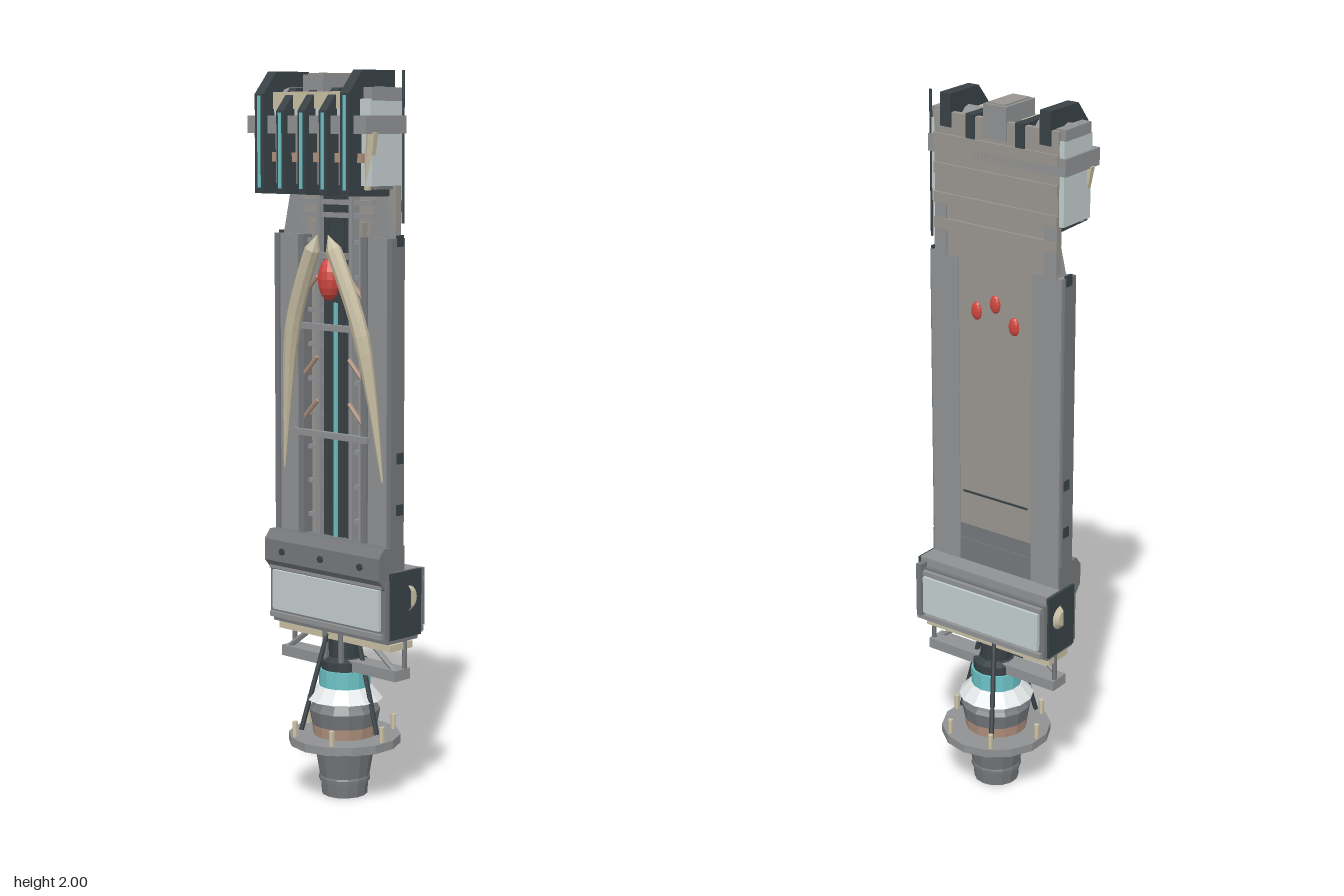
import * as THREE from 'three';

const palette = {
  grey: 0x8f9193, dark: 0x394246, teal: 0x6cc2c6, beige: 0xc9c0a4, taupe: 0x9a958f,
  red: 0xd0483f, light: 0xc3cdce, white: 0xe2e6e6, copper: 0xb0917f, mid: 0x75787b,
};
const mats = {};
for (const k in palette) {
  mats[k] = new THREE.MeshStandardMaterial({ color: palette[k], flatShading: true, side: THREE.DoubleSide });
}

export function createModel() {
  const root = new THREE.Group();
  const add = (name, geo, color, x = 0, y = 0, z = 0) => {
    const m = new THREE.Mesh(geo, mats[color]);
    m.name = name;
    m.position.set(x, y, z);
    root.add(m);
    return m;
  };
  // box given by its extents
  const box = (name, color, x0, x1, y0, y1, z0, z1) =>
    add(name, new THREE.BoxGeometry(x1 - x0, y1 - y0, z1 - z0), color, (x0 + x1) / 2, (y0 + y1) / 2, (z0 + z1) / 2);
  // mirrored pair of boxes
  const pair = (name, color, x0, x1, ...r) => {
    box(name + 'Left', color, x0, x1, ...r);
    box(name + 'Right', color, -x1, -x0, ...r);
  };
  // tapered rod between two points
  const rod = (name, color, a, b, r0, r1 = r0, sides = 6) => {
    const A = new THREE.Vector3(...a), B = new THREE.Vector3(...b), d = B.clone().sub(A);
    const m = add(name, new THREE.CylinderGeometry(r1, r0, d.length(), sides), color);
    m.position.copy(A).add(B).multiplyScalar(0.5);
    m.quaternion.setFromUnitVectors(new THREE.Vector3(0, 1, 0), d.normalize());
    return m;
  };
  // [z, y] side profile extruded across x
  const profile = (name, color, pts, width, x = 0) => {
    const g = new THREE.ExtrudeGeometry(new THREE.Shape(pts.map(p => new THREE.Vector2(...p))), { depth: width, bevelEnabled: false });
    return add(name, g.translate(0, 0, -width / 2).rotateY(-Math.PI / 2), color, x);
  };
  const lathe = (name, color, pts, sides = 14) =>
    add(name, new THREE.LatheGeometry(pts.map(p => new THREE.Vector2(...p)), sides), color);

  // Nozzle stack, bottom to top
  lathe('nozzleTip', 'mid', [[0, 0], [0.064, 0], [0.067, 0.04], [0.072, 0.04], [0.072, 0.05], [0.07, 0.055], [0.082, 0.125], [0.088, 0.13], [0.088, 0.15]]);
  lathe('flange', 'grey', [[0, 0.148], [0.157, 0.148], [0.157, 0.172], [0, 0.172]]);
  lathe('copperBand', 'copper', [[0.088, 0.17], [0.092, 0.205], [0, 0.205]]);
  lathe('nozzleCollar', 'mid', [[0.092, 0.203], [0.1, 0.245], [0.092, 0.255], [0.08, 0.275]]);
  lathe('skirt', 'white', [[0.085, 0.268], [0.107, 0.275], [0.075, 0.312], [0, 0.312]]);
  lathe('tealBand', 'teal', [[0.072, 0.308], [0.072, 0.36], [0, 0.36]]);
  lathe('upperCollar', 'dark', [[0.066, 0.358], [0.066, 0.385], [0.045, 0.395], [0.045, 0.48]]);
  for (let i = 0; i < 6; i++) {
    const a = i * Math.PI / 3, c = Math.cos(a), s = Math.sin(a);
    rod('flangeBolt', 'beige', [0.143 * c, 0.165, 0.143 * s], [0.143 * c, 0.215, 0.143 * s], 0.008);
    if (i % 2 === 0) rod('flangeStrut', 'dark', [0.125 * c, 0.19, 0.125 * s], [0.05 * c, 0.46, 0.05 * s], 0.007);
  }
  for (const x of [-0.03, 0.03]) rod('feedPipe', 'mid', [x, 0.37, 0.045], [x, 0.48, 0.045], 0.009);

  // Lower cross frame
  box('lowerCrossbar', 'grey', -0.22, 0.22, 0.362, 0.392, -0.03, 0.03);
  box('beigeCrossbar', 'beige', -0.215, 0.215, 0.446, 0.465, -0.045, 0.045);
  box('baseUnderside', 'mid', -0.22, 0.22, 0.47, 0.488, -0.06, 0.06);
  for (const s of [-1, 1]) {
    rod('frameBrace', 'grey', [s * 0.21, 0.385, 0.015], [s * 0.12, 0.45, 0.015], 0.008);
    rod('frameLink', 'mid', [s * 0.213, 0.385, -0.015], [s * 0.213, 0.48, -0.015], 0.007);
  }

  // Base housing with light panels on both faces
  box('baseHousing', 'mid', -0.222, 0.222, 0.486, 0.645, -0.078, 0.07);
  box('baseFrontPanel', 'light', -0.205, 0.205, 0.508, 0.62, 0.06, 0.08);
  box('baseBackPanel', 'light', -0.205, 0.205, 0.508, 0.62, -0.09, -0.07);
  for (const y of [0.486, 0.625]) {
    box('baseFrontTrim', 'grey', -0.215, 0.215, y, y + 0.014, 0.06, 0.082);
    box('baseBackTrim', 'grey', -0.215, 0.215, y, y + 0.014, -0.09, -0.07);
  }
  box('baseTop', 'grey', -0.22, 0.22, 0.64, 0.668, -0.065, 0.03);
  pair('baseEndPlate', 'dark', 0.218, 0.228, 0.482, 0.665, -0.065, 0.055);
  for (const s of [-1, 1]) {
    const geo = new THREE.CylinderGeometry(0.022, 0.037, 0.013, 10, 1, false, Math.PI / 2, Math.PI);
    const d = add('endLamp', geo, 'beige', s * 0.233, 0.59, -0.012);
    d.rotation.z = -s * Math.PI / 2;
    if (s > 0) d.rotation.x = 0;
    d.scale.x = s; // keep the half disc hanging downward on both ends
  }
  box('basePost', 'mid', 0.193, 0.21, 0.5, 0.66, -0.098, -0.07);

  // Bracket above the base
  profile('shoulderBracket', 'mid', [[-0.005, 0.62], [0.07, 0.62], [0.095, 0.65], [0.095, 0.71], [0.075, 0.735], [-0.005, 0.735]], 0.44);
  for (const x of [-0.15, 0, 0.15]) rod('bracketBolt', 'dark', [x, 0.68, 0.09], [x, 0.68, 0.1], 0.01, 0.01, 8);

  // Long body: side rails, back panel, inner channel
  pair('sideRail', 'grey', 0.122, 0.215, 0.66, 1.562, -0.006, 0.044);
  pair('railOuterEdge', 'mid', 0.205, 0.222, 0.73, 1.562, 0.0, 0.05);
  pair('railInnerEdge', 'mid', 0.108, 0.13, 0.73, 1.562, 0.0, 0.05);
  box('backPanel', 'taupe', -0.125, 0.125, 0.78, 1.6, -0.004, 0.008);
  box('backPanelFoot', 'mid', -0.125, 0.125, 0.66, 0.79, -0.002, 0.008);
  box('backSeam', 'dark', -0.11, 0.11, 0.878, 0.884, -0.006, 0);
  box('centreSpine', 'dark', -0.026, 0.026, 0.7, 1.68, 0.008, 0.032);
  box('tealLine', 'teal', -0.006, 0.006, 0.72, 1.38, 0.03, 0.038);
  pair('innerDarkStrip', 'dark', 0.032, 0.05, 0.7, 1.68, 0.008, 0.03);
  pair('innerPost', 'grey', 0.055, 0.068, 0.7, 1.68, 0.008, 0.042);
  pair('innerPipe', 'taupe', 0.082, 0.096, 0.72, 1.6, 0.008, 0.03);
  for (let i = 0; i < 9; i++) {
    const y = 0.78 + i * 0.095;
    pair('channelRung', 'grey', 0.05, 0.11, y, y + 0.012, 0.01, 0.034);
  }
  for (const [y, w] of [[1.01, 0.14], [1.305, 0.11], [1.5, 0.06]]) box('tuskCrossbar', 'grey', -w, w, y, y + 0.017, 0.045, 0.062);
  for (const s of [-1, 1]) for (const y of [1.08, 1.2, 1.42]) {
    rod('channelBrace', 'copper', [s * 0.06, y + 0.03, 0.045], [s * 0.11, y - 0.02, 0.045], 0.006);
  }
  for (const y of [0.82, 0.96, 1.54]) pair('railClip', 'dark', 0.217, 0.224, y, y + 0.03, 0.005, 0.03);

  // Tapered tusks meeting at the top
  const tusk = s => {
    const path = new THREE.CatmullRomCurve3([[0.018, 1.57, 0.085], [0.075, 1.45, 0.08], [0.128, 1.31, 0.072], [0.16, 1.13, 0.06], [0.187, 0.91, 0.048]]
      .map(([x, y, z]) => new THREE.Vector3(s * x, y, z)));
    const n = 14, sides = 8, g = new THREE.TubeGeometry(path, n, 0.022, sides);
    const p = g.attributes.position, v = new THREE.Vector3();
    for (let i = 0; i < p.count; i++) {
      const ring = Math.floor(i / (sides + 1)), t = ring / n, c = path.getPointAt(t);
      const k = ring === 0 ? 0 : t < 0.45 ? 1 : Math.max(0.12, 1 - (t - 0.45) * 1.6);
      v.fromBufferAttribute(p, i).sub(c).multiplyScalar(k).add(ring === 0 ? path.getPointAt(0.005) : c);
      p.setXYZ(i, v.x, v.y, v.z);
    }
    add(s > 0 ? 'tuskLeft' : 'tuskRight', g, 'beige');
  };
  tusk(1);
  tusk(-1);

  // Red gems, front and back
  const gem = (x, y, z, w, h, d) => add('redGem', new THREE.SphereGeometry(1, 12, 8), 'red', x, y, z).scale.set(w, h, d);
  gem(0, 1.445, 0.06, 0.033, 0.058, 0.03);
  gem(0.062, 1.42, -0.004, 0.017, 0.026, 0.01);
  gem(0, 1.45, -0.004, 0.017, 0.026, 0.01);
  gem(-0.062, 1.4, -0.004, 0.017, 0.026, 0.01);

  // Neck and upper back plate
  for (const s of [-1, 1]) {
    const shape = new THREE.Shape([[0.12, 1.55], [0.205, 1.55], [0.175, 1.68], [0.15, 1.68]].map(([x, y]) => new THREE.Vector2(s * x, y)));
    add('neckPlate', new THREE.ExtrudeGeometry(shape, { depth: 0.033, bevelEnabled: false }), 'grey');
  }
  box('upperBackPlate', 'taupe', -0.2, 0.2, 1.56, 1.95, -0.004, 0.012);
  pair('upperBackRail', 'grey', 0.16, 0.2, 1.55, 1.72, -0.008, 0.01);
  for (const y of [1.63, 1.7, 1.78, 1.86]) box('backSlat', 'taupe', -0.2, 0.2, y, y + 0.03, -0.01, 0);
  for (const y of [1.61, 1.645]) box('neckRung', 'grey', -0.14, 0.14, y, y + 0.014, 0.01, 0.035);

  // Head: core blocks, cheeks and clamps
  box('headCore', 'taupe', -0.2, 0.2, 1.76, 1.9, 0.0, 0.115);
  box('headLowerCore', 'mid', -0.19, 0.19, 1.69, 1.76, 0.0, 0.08);
  box('headUpperDeck', 'light', -0.215, 0.215, 1.88, 1.925, 0.0, 0.125);
  box('headBand', 'grey', -0.222, 0.222, 1.835, 1.882, -0.004, 0.15);
  box('headFrontBar', 'beige', -0.16, 0.16, 1.9, 1.945, 0.06, 0.13);
  box('headLowerBar', 'copper', -0.19, 0.19, 1.76, 1.785, 0.08, 0.135);
  pair('cheek', 'light', 0.175, 0.215, 1.7, 1.84, 0.0, 0.12);
  for (const s of [-1, 1]) {
    rod('headDrum', 'grey', [s * 0.09, 1.925, 0.07], [s * 0.212, 1.925, 0.07], 0.032, 0.032, 12);
    rod('cheekFang', 'beige', [s * 0.19, 1.69, 0.11], [s * 0.212, 1.84, 0.115], 0.01, 0.016);
    box('cheekTop', 'grey', s * 0.2 - 0.015, s * 0.2 + 0.015, 1.92, 1.955, 0.005, 0.12);
  }
  box('headCap', 'grey', -0.037, 0.037, 1.9, 1.99, -0.008, 0.12);
  box('headCapTop', 'taupe', -0.028, 0.028, 1.985, 1.994, 0, 0.11);

  // Five clamp fins, the outer ones tallest
  [-0.16, -0.08, 0, 0.08, 0.16].forEach(x => {
    const outer = Math.abs(x) > 0.1, top = outer ? 2 : 1.955, w = outer ? 0.034 : 0.028;
    const back = x === 0 ? 0.1 : -0.008;
    profile('clampFin', 'dark', [[back, top], [0.115, top], [0.165, top - 0.06], [0.165, 1.675], [0.005, 1.67],
      [0.005, 1.7], [0.12, 1.7], [0.12, top - 0.09], [back, top - 0.09]], w, x);
    box('finTealStrip', 'teal', x - 0.005, x + 0.005, 1.69, top - 0.065, 0.16, 0.168);
  });

  // Thin aerial
  rod('aerial', 'dark', [0.216, 1.6, 0.002], [0.216, 2, 0.002], 0.004);
  return root;
}
